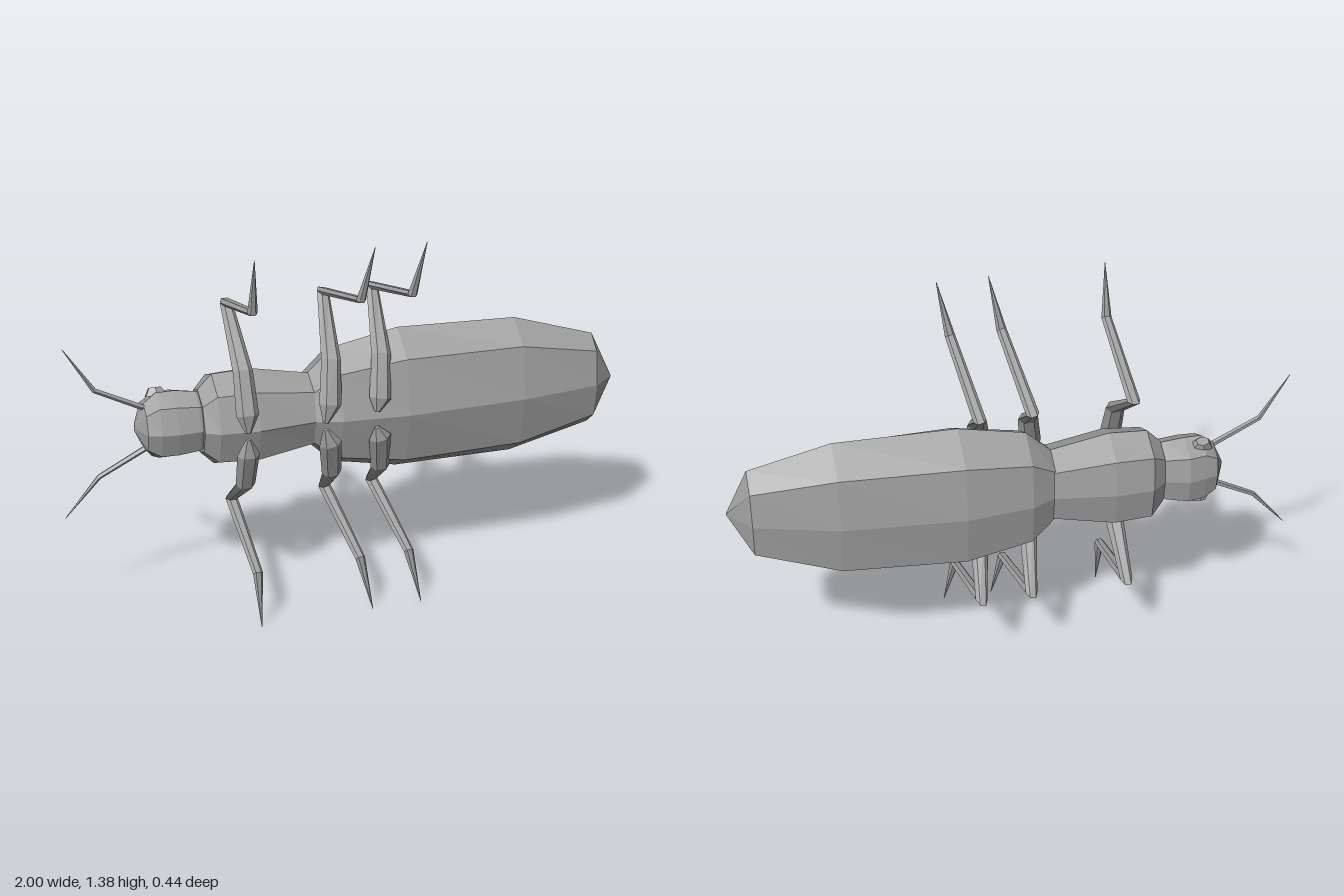
import * as THREE from 'three';

const MID = 0.695; // height of the body axis

// Skin a list of closed rings and close both ends
function loft(rings) {
  const n = rings[0].length, pos = [], idx = [];
  rings.forEach(r => r.forEach(p => pos.push(p.x, p.y, p.z)));
  for (let i = 0; i < rings.length - 1; i++) {
    for (let j = 0; j < n; j++) {
      const a = i * n + j, b = i * n + (j + 1) % n;
      idx.push(a, b, b + n, a, b + n, a + n);
    }
  }
  const last = (rings.length - 1) * n;
  for (let j = 1; j < n - 1; j++) {
    idx.push(0, j + 1, j, last, last + j, last + j + 1);
  }
  const g = new THREE.BufferGeometry();
  g.setAttribute('position', new THREE.Float32BufferAttribute(pos, 3));
  g.setIndex(idx);
  const flat = g.toNonIndexed();
  flat.computeVertexNormals();
  return flat;
}

// Body ring: x, half height, back z, widest z, belly z
function bodyRing([x, h, back, wide, belly]) {
  const k = 0.72;
  const zb = wide + (belly - wide) * k, zd = wide + (back - wide) * 0.85;
  return [[h, wide], [k * h, zb], [0, belly], [-k * h, zb], [-h, wide], [-k * h, zd], [0, back], [k * h, zd]]
    .map(([y, z]) => new THREE.Vector3(x, MID + y, z));
}

// Tapered limb with mitred joints; flat squeezes it across the bending plane
function limb(points, radii, side, sides, flat) {
  const p = points.map(a => new THREE.Vector3(...a));
  const dir = i => p[i + 1].clone().sub(p[i]).normalize();
  return loft(p.map((c, i) => {
    const d1 = dir(Math.max(i - 1, 0)), d2 = dir(Math.min(i, p.length - 2));
    const t = d1.clone().add(d2).normalize();
    const u = side.clone().addScaledVector(t, -side.dot(t)).normalize();
    const v = t.clone().cross(u);
    const mitre = flat / Math.max(t.dot(d1), 0.38);
    return Array.from({ length: sides }, (_, j) => {
      const a = j / sides * Math.PI * 2;
      return c.clone().addScaledVector(u, radii[i] * Math.cos(a))
        .addScaledVector(v, radii[i] * mitre * Math.sin(a));
    });
  }));
}

export function createModel() {
  const group = new THREE.Group();
  const shell = new THREE.MeshStandardMaterial({ color: 0xa0a0a0, flatShading: true });
  shell.name = 'shell grey';
  const add = (name, geometry) => {
    const m = new THREE.Mesh(geometry, shell);
    m.name = name;
    group.add(m);
    return m;
  };

  // Body sections
  add('head', loft([
    [-0.738, 0.015, -0.09, -0.08, -0.07],
    [-0.705, 0.09, -0.155, -0.075, 0.0],
    [-0.66, 0.125, -0.165, -0.075, 0.015],
    [-0.6, 0.125, -0.176, -0.075, 0.022],
    [-0.525, 0.115, -0.155, -0.07, 0.02],
    [-0.49, 0.1, -0.14, -0.07, 0.01],
  ].map(bodyRing)));
  add('thorax', loft([
    [-0.515, 0.12, -0.152, -0.07, 0.035],
    [-0.465, 0.172, -0.192, -0.07, 0.06],
    [-0.33, 0.178, -0.196, -0.065, 0.075],
    [-0.12, 0.135, -0.163, -0.06, 0.06],
    [-0.08, 0.12, -0.15, -0.06, 0.05],
  ].map(bodyRing)));
  add('abdomen', loft([
    [-0.13, 0.13, -0.155, -0.06, 0.06],
    [-0.035, 0.222, -0.197, -0.06, 0.085],
    [0.2, 0.27, -0.22, -0.055, 0.107],
    [0.63, 0.262, -0.183, -0.035, 0.1],
    [0.92, 0.175, -0.1, -0.01, 0.066],
    [1.0, 0.002, -0.002, 0, 0.002],
  ].map(bodyRing)));

  // Leg x positions: hip, thigh bulge, knee, ankle, tip
  const legs = {
    front: [-0.38, -0.378, -0.378, -0.377, -0.376],
    middle: [-0.105, -0.085, -0.03, -0.005, 0.032],
    rear: [0.08, 0.095, 0.15, 0.175, 0.212],
  };
  const xAxis = new THREE.Vector3(1, 0, 0), zAxis = new THREE.Vector3(0, 0, 1);

  for (const s of [1, -1]) {
    const where = s > 0 ? 'Upper' : 'Lower';
    for (const [name, x] of Object.entries(legs)) {
      const hip = name === 'rear' ? 0.03 : 0.012;
      const path = [
        [x[0], MID + s * hip, 0.1],
        [x[1], MID + s * 0.075, 0.088],
        [x[1] + (x[2] - x[1]) * 0.35, MID + s * 0.215, 0.035],
        [x[2], MID + s * 0.382, -0.185],
        [x[3], MID + s * 0.492, 0.182],
        [x[4], MID + s * 0.688, 0.218],
      ];
      add(name + 'Leg' + where, limb(path, [0.01, 0.04, 0.035, 0.022, 0.018, 0.001], xAxis, 6, 0.65));
    }

    // Antennae
    const tip = s > 0 ? [-0.972, MID + 0.33] : [-0.998, MID - 0.31];
    add('antenna' + where, limb([
      [-0.68, MID + s * 0.065, -0.07],
      [-0.872, MID + s * 0.165, -0.07],
      [...tip, -0.07],
    ], [0.011, 0.009, 0.001], zAxis, 5, 1));

    // Faceted eyes
    const eye = add('eye' + where, new THREE.CylinderGeometry(0.024, 0.042, 0.03, 6));
    eye.position.set(-0.655, MID + s * 0.114, -0.108);
    eye.rotation.x = s > 0 ? -0.45 : Math.PI + 0.45;
    eye.scale.z = 0.75;
  }
  return group;
}
